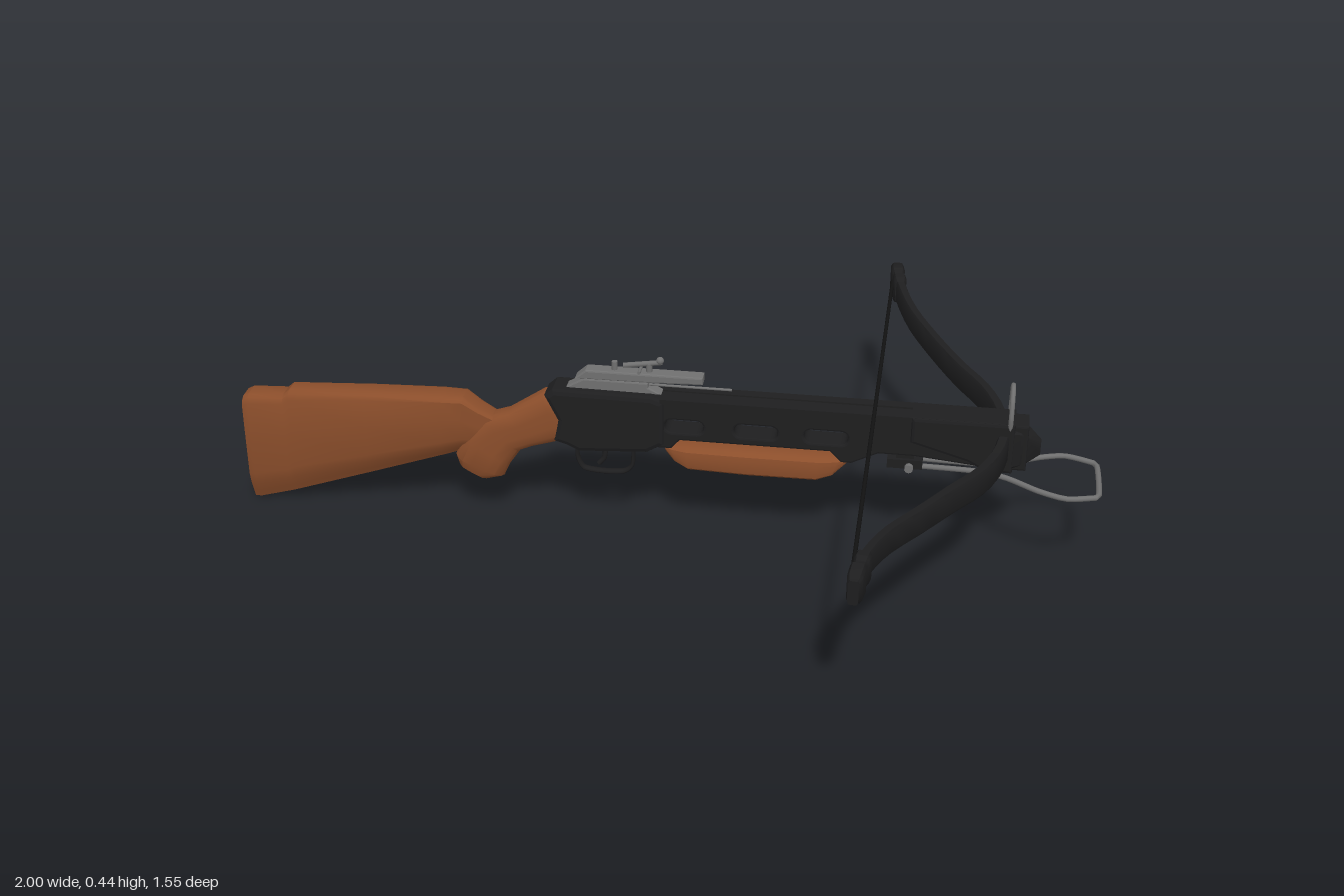
import * as THREE from 'three';
import { toCreasedNormals } from 'three/addons/utils/BufferGeometryUtils.js';

const mat = (name, color) => Object.assign(new THREE.MeshStandardMaterial({ color }), { name });
const V = (x, y, z = 0) => new THREE.Vector3(x, y, z);

// Cross-sections: [height 0..1, half-width -1..1], from the top round through +side
const mirrorSection = half => [...half, ...half.slice().reverse().map(([u, w]) => [u, -w])];
const ROUND = mirrorSection([[1, 0.35], [0.95, 0.7], [0.83, 0.95], [0.65, 1], [0.35, 1], [0.17, 0.95], [0.05, 0.7], [0, 0.35]]);
const KEEL = mirrorSection([[1, 0.55], [0.975, 0.85], [0.93, 1], [0.6, 1], [0.27, 0.97], [0.17, 0.8], [0.06, 0.45], [0, 0.25]]);
const BLOCK = mirrorSection([[1, 0.7], [0.88, 1], [0.12, 1], [0, 0.7]]);

// Skin over stations { top, bottom, side } with capped ends
function loft(stations, section, crease = 0.6) {
  const n = section.length, pos = [], idx = [];
  for (const { top, bottom, side } of stations)
    for (const [u, w] of section) pos.push(...bottom.clone().lerp(top, u).addScaledVector(side, w).toArray());
  for (let i = 0; i < stations.length - 1; i++)
    for (let j = 0; j < n; j++) {
      const a = i * n + j, b = i * n + (j + 1) % n;
      idx.push(a, b, b + n, a, b + n, a + n);
    }
  const last = (stations.length - 1) * n;
  for (let j = 1; j < n - 1; j++) idx.push(0, j + 1, j, last, last + j, last + j + 1);
  const g = new THREE.BufferGeometry();
  g.setAttribute('position', new THREE.Float32BufferAttribute(pos, 3));
  g.setIndex(idx);
  return toCreasedNormals(g, crease);
}

// Stations from side-view rows [topX, topY, bottomX, bottomY, halfWidth]
const rows = list => list.map(([tx, ty, bx, by, w]) => ({ top: V(tx, ty), bottom: V(bx, by), side: V(0, 0, w) }));

// Side-view outline extruded symmetrically about z = 0
function slab(points, width, bevel = 0.008, holes = []) {
  const shape = new THREE.Shape(points.map(p => new THREE.Vector2(...p)));
  shape.holes.push(...holes);
  const g = new THREE.ExtrudeGeometry(shape, {
    depth: width - 2 * bevel, bevelEnabled: bevel > 0, bevelSize: bevel, bevelOffset: -bevel,
    bevelThickness: bevel, bevelSegments: 2, curveSegments: 8,
  });
  return g.translate(0, 0, bevel - width / 2);
}

// Rounded slot used as a hole
function slot(x0, x1, y0, y1) {
  const r = (y1 - y0) / 2, p = new THREE.Path();
  p.absarc(x1 - r, y0 + r, r, -Math.PI / 2, Math.PI / 2);
  p.absarc(x0 + r, y0 + r, r, Math.PI / 2, Math.PI * 1.5);
  p.closePath();
  return p;
}

function wire(points, radius, closed = false) {
  const c = new THREE.CatmullRomCurve3(points.map(p => V(...p)), closed, 'catmullrom', 0.35);
  return new THREE.TubeGeometry(c, 64, radius, 8, closed);
}

// Centre line of one limb, mirrored for the other: [z, x, y]
const LIMB = [[0.1, 0.765, 0.304], [0.2, 0.73, 0.308], [0.3, 0.67, 0.314], [0.42, 0.605, 0.325],
  [0.54, 0.545, 0.342], [0.65, 0.51, 0.357], [0.72, 0.498, 0.36], [0.775, 0.492, 0.36]];
const limbCurve = new THREE.CatmullRomCurve3([
  ...LIMB.slice().reverse().map(([z, x, y]) => V(x, y, -z)), V(0.777, 0.302, 0),
  ...LIMB.map(([z, x, y]) => V(x, y, z))]);

// Station on the bow at parameter t with given height and thickness
function limbStation(t, height, thick) {
  const p = limbCurve.getPointAt(t), d = limbCurve.getTangentAt(t);
  d.y = 0;
  const side = d.normalize().cross(V(0, 1, 0)).multiplyScalar(thick / 2);
  return { top: p.clone().add(V(0, height / 2)), bottom: p.clone().add(V(0, -height / 2)), side };
}

export function createModel() {
  const wood = mat('wood', 0x8b4e2b), black = mat('blackMetal', 0x1e1e1f);
  const cord = mat('cord', 0x121212), steel = mat('steel', 0x707070);
  const model = new THREE.Group();
  model.name = 'crossbow';
  const add = (name, geometry, material, x = 0, y = 0, z = 0) => {
    const m = new THREE.Mesh(geometry, material);
    m.name = name;
    m.position.set(x, y, z);
    model.add(m);
    return m;
  };
  const box = (name, w, h, d, material, x, y, z = 0) => add(name, new THREE.BoxGeometry(w, h, d), material, x, y, z);
  const rod = (name, r, len, material, x, y, z = 0) =>
    add(name, new THREE.CylinderGeometry(r, r, len, 12).rotateZ(Math.PI / 2), material, x, y, z);

  // Wooden shoulder stock, grip and forend
  add('shoulderStock', loft(rows([
    [-1, 0.285, -1, 0.008, 0.034], [-0.985, 0.293, -0.985, 0.008, 0.038], [-0.9, 0.297, -0.9, 0.032, 0.038],
    [-0.885, 0.31, -0.885, 0.037, 0.038], [-0.7, 0.32, -0.7, 0.1, 0.038], [-0.52, 0.325, -0.52, 0.162, 0.037],
    [-0.465, 0.324, -0.47, 0.18, 0.035], [-0.43, 0.298, -0.43, 0.185, 0.031], [-0.385, 0.272, -0.4, 0.2, 0.026],
  ]), KEEL), wood);
  add('grip', loft(rows([
    [-0.483, 0.145, -0.415, 0.109, 0.027], [-0.49, 0.17, -0.375, 0.122, 0.036], [-0.465, 0.225, -0.36, 0.155, 0.038],
    [-0.42, 0.272, -0.335, 0.192, 0.036], [-0.36, 0.292, -0.3, 0.207, 0.036],
    [-0.275, 0.348, -0.24, 0.225, 0.038], [-0.22, 0.352, -0.22, 0.232, 0.036],
  ]), ROUND), wood);
  add('forend', loft(rows([
    [0.008, 0.238, 0.012, 0.222, 0.022], [0.025, 0.24, 0.035, 0.197, 0.034], [0.06, 0.24, 0.065, 0.179, 0.038],
    [0.2, 0.24, 0.2, 0.175, 0.039], [0.36, 0.24, 0.36, 0.176, 0.038], [0.41, 0.24, 0.395, 0.19, 0.034],
    [0.435, 0.238, 0.425, 0.222, 0.022],
  ]), ROUND), wood);

  // Receiver and slotted frame
  add('receiver', slab([[-0.27, 0.35], [-0.25, 0.368], [-0.02, 0.366], [0.01, 0.355], [0.01, 0.245], [-0.03, 0.222],
    [-0.19, 0.212], [-0.22, 0.226], [-0.25, 0.235], [-0.24, 0.29]], 0.082, 0.012), black);
  add('frame', slab([[-0.05, 0.36], [0.83, 0.358], [0.83, 0.245], [0.76, 0.245], [0.58, 0.262], [0.5, 0.262],
    [0.44, 0.232], [0.415, 0.232], [0.39, 0.258], [0.045, 0.258], [0.025, 0.235], [-0.05, 0.235]], 0.066, 0.005,
  [[0.01, 0.1], [0.17, 0.27], [0.33, 0.43]].map(([a, b]) => slot(a, b, 0.277, 0.31))), black);
  for (const s of [-1, 1]) box('topRail', 0.8, 0.012, 0.026, black, 0.4, 0.357, s * 0.025);

  // Front clamp holding the bow, with a pointed nose
  add('frontClamp', slab([[0.57, 0.364], [0.8, 0.364], [0.8, 0.24], [0.74, 0.24], [0.7, 0.262], [0.57, 0.3]], 0.086), black);
  add('nose', loft([[0.78, 0.238, 0.356, 0.042], [0.815, 0.25, 0.35, 0.036], [0.86, 0.275, 0.312, 0.004]].map(
    ([x, b, t, w]) => ({ top: V(x, t), bottom: V(x, b), side: V(0, 0, w) })), BLOCK), black);

  // Bow limbs, tip caps and string
  const N = 40;
  add('bow', loft(Array.from({ length: N + 1 }, (_, i) => {
    const e = Math.abs(i / N - 0.5) * 2;
    return limbStation(i / N, 0.066 - 0.012 * e, 0.026 - 0.004 * e);
  }), BLOCK, 0.5), black);
  const capRows = [[0, 0.045, 0.022], [0.012, 0.068, 0.032], [0.033, 0.072, 0.034], [0.04, 0.056, 0.028],
    [0.046, 0.056, 0.028], [0.052, 0.07, 0.032], [0.064, 0.07, 0.032], [0.07, 0.055, 0.026]];
  add('rightTip', loft(capRows.map(([t, h, w]) => limbStation(t, h, w)), BLOCK), black);
  add('leftTip', loft(capRows.slice().reverse().map(([t, h, w]) => limbStation(1 - t, h, w)), BLOCK), black);
  add('bowstring', new THREE.CylinderGeometry(0.0045, 0.0045, 1.4, 8).rotateX(Math.PI / 2), cord, 0.486, 0.367, 0);

  // Trigger and guard
  add('triggerGuard', wire([[-0.2, 0.225, 0], [-0.2, 0.18, 0], [-0.185, 0.152, 0], [-0.14, 0.146, 0], [-0.09, 0.15, 0],
    [-0.07, 0.17, 0], [-0.068, 0.225, 0]], 0.005).scale(1, 1, 2), black);
  add('trigger', wire([[-0.145, 0.225, 0], [-0.135, 0.2, 0], [-0.138, 0.18, 0], [-0.15, 0.165, 0]], 0.006), black);

  // Sight on top of the receiver
  add('sightBase', slab([[-0.225, 0.365], [-0.18, 0.392], [-0.03, 0.392], [-0.03, 0.38], [0, 0.364]], 0.034, 0.004), steel);
  add('sightBody', slab([[-0.2, 0.392], [-0.175, 0.414], [0.095, 0.414], [0.095, 0.396], [-0.02, 0.392]], 0.036, 0.004), steel);
  rod('sightRod', 0.003, 0.3, steel, 0.01, 0.381);
  for (const x of [-0.11, -0.03]) {
    add('sightScrew', new THREE.CylinderGeometry(0.007, 0.007, 0.024, 10), steel, x, 0.422, 0);
  }
  rod('sightTube', 0.006, 0.09, steel, -0.045, 0.432).rotation.z = 0.15;
  add('sightBead', new THREE.SphereGeometry(0.009, 10, 8), steel, -0.005, 0.443, 0);
  add('sightCrossPin', new THREE.CylinderGeometry(0.004, 0.004, 0.05, 8).rotateX(Math.PI / 2), steel, -0.05, 0.42, 0);

  // Upright front sight hoop
  add('frontHoop', wire([[0.788, 0.34, 0.036], [0.788, 0.38, 0.042], [0.788, 0.415, 0.033], [0.788, 0.438, 0.012],
    [0.788, 0.438, -0.012], [0.788, 0.415, -0.033], [0.788, 0.38, -0.042], [0.788, 0.34, -0.036]], 0.0055), steel);

  // Foot stirrup and its bracket
  const side = [[0.56, 0.232, 0.018], [0.72, 0.229, 0.018], [0.79, 0.226, 0.035], [0.86, 0.223, 0.078], [0.92, 0.221, 0.1],
    [0.975, 0.219, 0.085], [0.994, 0.218, 0.066]];
  add('stirrup', wire([...side, ...side.slice().reverse().map(([x, y, z]) => [x, y, -z])], 0.0065), steel);
  box('stirrupBracket', 0.08, 0.022, 0.056, black, 0.56, 0.238);
  box('stirrupMount', 0.04, 0.03, 0.04, black, 0.56, 0.255);
  add('stirrupPin', new THREE.CylinderGeometry(0.01, 0.01, 0.08, 10).rotateX(Math.PI / 2), steel, 0.57, 0.232, 0);
  return model;
}
